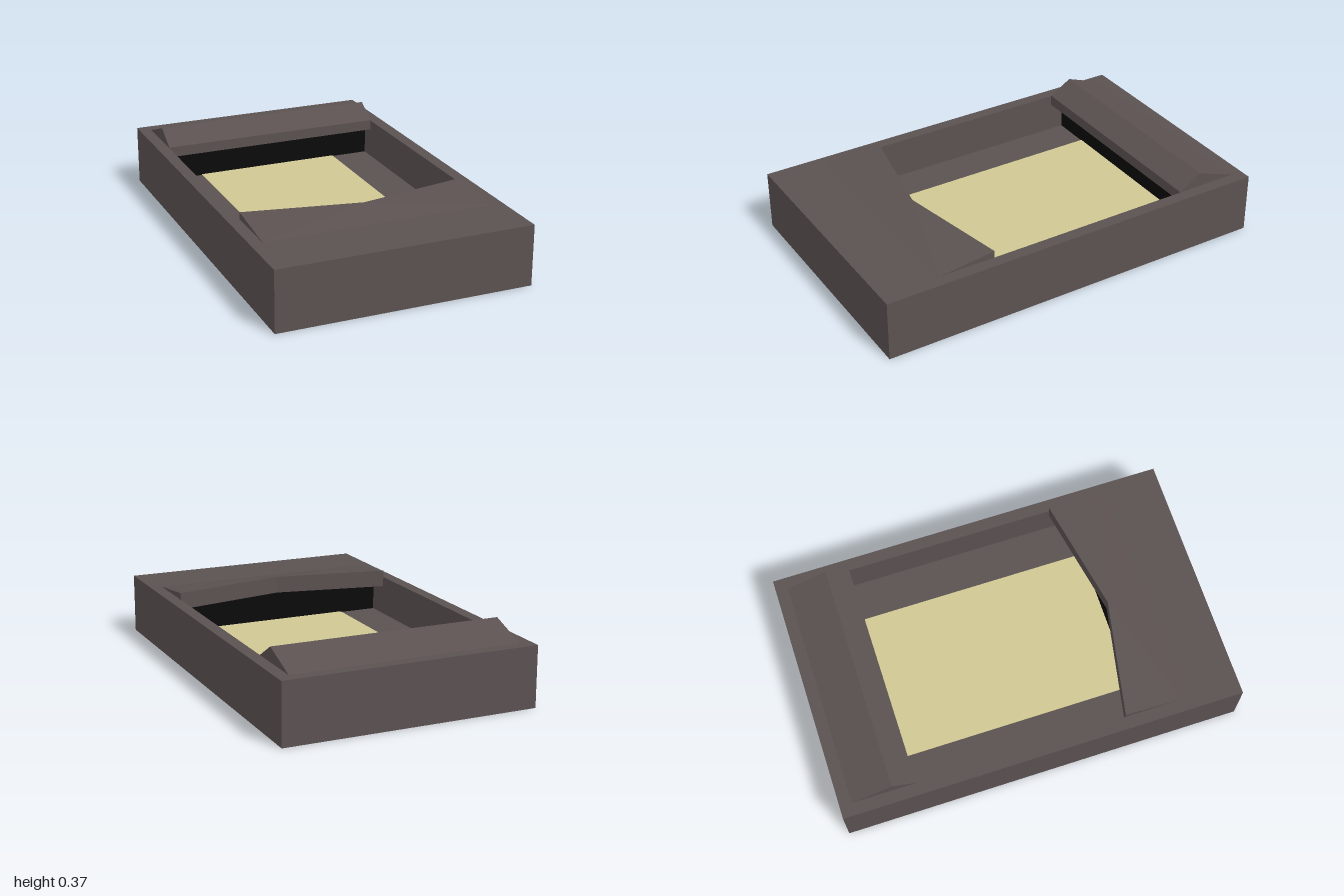
import * as THREE from 'three';

const W = 0.63, L = 1, H = 0.3;            // outer half width, half length, height
const IN = 0.57, BACK = -0.7, FRONT = 0.54; // recess limits
const FLOOR = 0.1, LIP = 0.25;              // recess floor, underside of the covers

const shell = new THREE.MeshStandardMaterial({ color: 0x5b5151 });
shell.name = 'warm grey shell';
const cream = new THREE.MeshStandardMaterial({ color: 0xd0c794 });
cream.name = 'cream panel';
const black = new THREE.MeshStandardMaterial({ color: 0x0a0a0a });
black.name = 'black recess end';

function polygon(Type, points) {
  return new Type(points.map(([x, y]) => new THREE.Vector2(x, y)));
}

// Open frame with a rectangular recess
function frameGeometry() {
  const shape = polygon(THREE.Shape, [[-W, -L], [W, -L], [W, L], [-W, L]]);
  shape.holes.push(polygon(THREE.Path, [[-IN, -FRONT], [-IN, -BACK], [IN, -BACK], [IN, -FRONT]]));
  return new THREE.ExtrudeGeometry(shape, { depth: H, bevelEnabled: false }).rotateX(-Math.PI / 2);
}

// Ridge: a (z, y) profile run across the width
function ridgeGeometry() {
  const shape = polygon(THREE.Shape, [[-0.94, LIP], [-0.625, LIP], [-0.625, 0.303], [-0.74, 0.372], [-0.94, H]]);
  return new THREE.ExtrudeGeometry(shape, { depth: 2 * IN, bevelEnabled: false })
    .rotateY(-Math.PI / 2).translate(IN, 0, 0);
}

// Sloping cover with a V-shaped rear edge
function coverGeometry() {
  const top = [[-IN, H, 0.71], [IN, H, 0.71], [IN, 0.335, 0.42], [0, 0.335, 0.53], [-IN, 0.335, 0.42]];
  const low = top.map(([x, , z]) => [x, LIP, z]);
  const pos = [];
  const tri = (a, b, c) => pos.push(...a, ...b, ...c);
  for (const [a, b] of [[4, 0], [0, 1], [1, 2]]) {
    tri(top[3], top[a], top[b]);
    tri(low[3], low[b], low[a]);
  }
  for (let i = 0; i < 5; i++) {
    const j = (i + 1) % 5;
    tri(low[i], low[j], top[j]);
    tri(low[i], top[j], top[i]);
  }
  const g = new THREE.BufferGeometry();
  g.setAttribute('position', new THREE.Float32BufferAttribute(pos, 3));
  g.computeVertexNormals();
  return g;
}

export function createModel() {
  const model = new THREE.Group();
  model.name = 'tray';
  const add = (name, geometry, material, x = 0, y = 0, z = 0) => {
    const mesh = new THREE.Mesh(geometry, material);
    mesh.name = name;
    mesh.position.set(x, y, z);
    model.add(mesh);
    return mesh;
  };
  const midZ = (BACK + FRONT) / 2, length = FRONT - BACK;

  add('frame', frameGeometry(), shell);
  add('floor', new THREE.BoxGeometry(2 * IN, FLOOR, length), shell, 0, FLOOR / 2, midZ);
  add('floorPanel', new THREE.BoxGeometry(0.75, 0.004, length), cream, 0, FLOOR + 0.002, midZ);

  // Dark end walls of the recess
  for (const [name, z] of [['rearRecessWall', BACK + 0.002], ['frontRecessWall', FRONT - 0.002]]) {
    add(name, new THREE.BoxGeometry(2 * IN, LIP - FLOOR, 0.004), black, 0, (LIP + FLOOR) / 2, z);
  }

  add('rearRidge', ridgeGeometry(), shell);
  add('frontCover', coverGeometry(), shell);
  return model;
}
